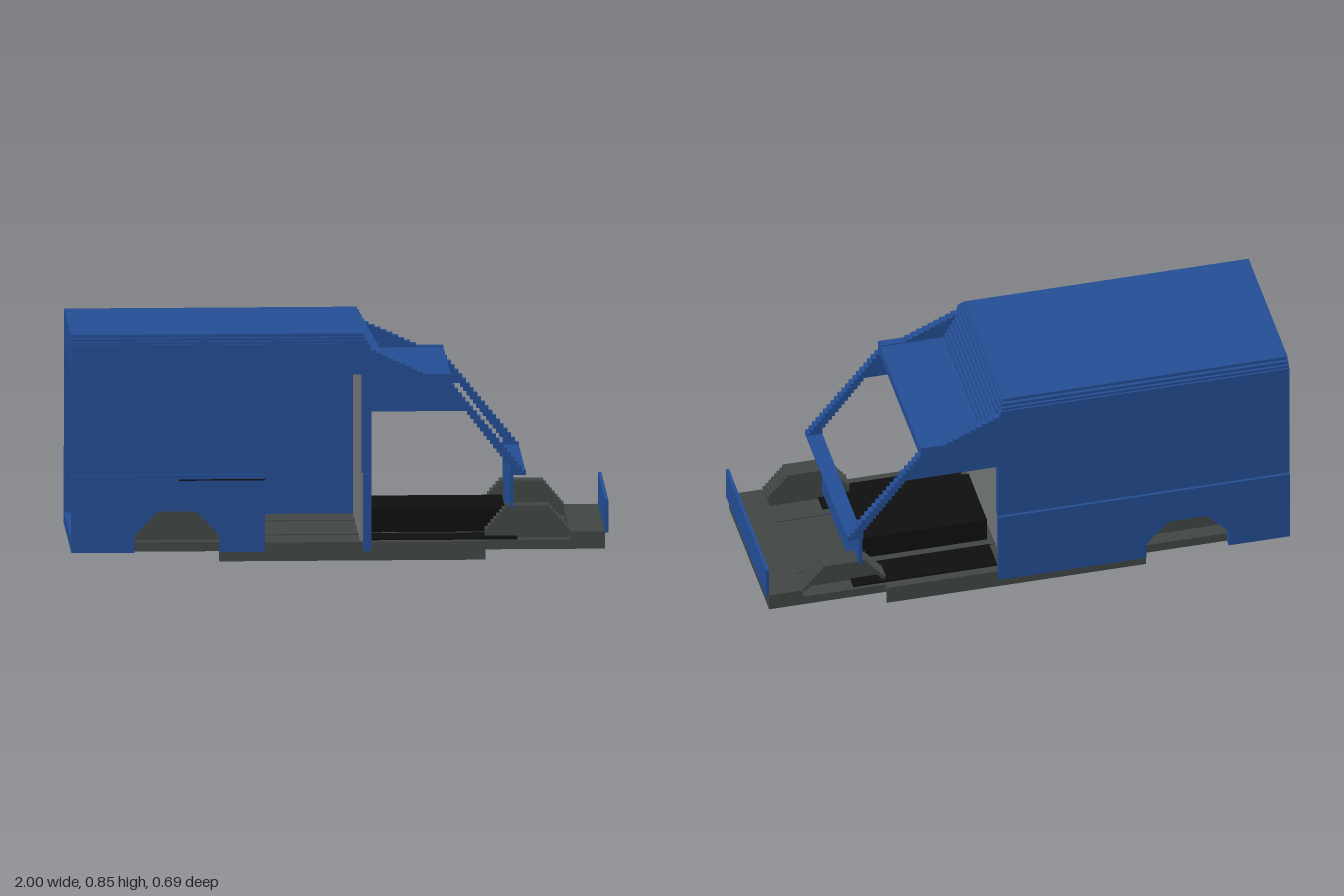
import * as THREE from 'three';

const mat = (name, color, side = THREE.FrontSide) => {
  const m = new THREE.MeshStandardMaterial({ color, side });
  m.name = name;
  return m;
};

export function createModel() {
  const van = new THREE.Group();
  van.name = 'vanShell';
  const blue = mat('bodyBlue', 0x244f96);
  const grey = mat('floorGrey', 0x424745);
  const black = mat('matBlack', 0x0f0f0f);
  const pale = mat('partitionGrey', 0x747779);

  const add = (name, geo, material) => {
    const mesh = new THREE.Mesh(geo, material);
    mesh.name = name;
    van.add(mesh);
    return mesh;
  };
  // Box given by its limits on each axis
  const box = (name, m, x0, x1, y0, y1, z0, z1) => {
    const g = new THREE.BoxGeometry(x1 - x0, y1 - y0, z1 - z0);
    g.translate((x0 + x1) / 2, (y0 + y1) / 2, (z0 + z1) / 2);
    return add(name, g, m);
  };
  // Side profile in x,y extruded between two distances from the centre line
  const panel = (name, m, pts, s, z0, z1) => {
    const shape = new THREE.Shape(pts.map(p => new THREE.Vector2(p[0], p[1])));
    const g = new THREE.ExtrudeGeometry(shape, { depth: z1 - z0, bevelEnabled: false });
    g.translate(0, 0, s > 0 ? z0 : -z1);
    return add(name, g, m);
  };
  // Staircase of n steps between two points
  const stairs = (x0, y0, x1, y1, n, flatFirst = true) => {
    const pts = [[x0, y0]];
    for (let i = 1; i <= n; i++) {
      const x = x0 + (x1 - x0) * i / n, y = y0 + (y1 - y0) * i / n;
      const px = x0 + (x1 - x0) * (i - 1) / n, py = y0 + (y1 - y0) * (i - 1) / n;
      pts.push(flatFirst ? [x, py] : [px, y], [x, y]);
    }
    return pts;
  };

  // Floor, front cross member and underside runners
  box('floor', grey, -0.97, 0.985, 0.035, 0.07, -0.315, 0.315);
  box('frontCrossMember', grey, 0.855, 0.985, 0.035, 0.1, -0.315, 0.315);
  for (const s of [-1, 1]) {
    box('floorRunner', grey, -0.97, 0.965, 0.025, 0.074, s * 0.16 - 0.015, s * 0.16 + 0.015);
    box('sill', grey, -0.45, 0.54, 0, 0.07, s * 0.332 - 0.005, s * 0.332 + 0.005);
    box('sillTop', grey, -0.28, 0.54, 0.04, 0.07, s * 0.32 - 0.008, s * 0.32 + 0.008);
    box('cabMat', black, 0.11, 0.66, 0.069, 0.077, s * 0.24 - 0.063, s * 0.24 + 0.063);
  }
  box('cabPlatform', black, 0.11, 0.62, 0.069, 0.165, -0.144, 0.144);

  // Wheel arches: stepped cover, closed inner wall, open lower ends
  const arch = (x0, x1, top, s) => {
    const w = 0.085, t = 0.012;
    const outer = [
      ...stairs(x0, 0.1, x0 + w, top, 8, false),
      ...stairs(x1 - w, top, x1, 0.1, 8),
    ];
    const inner = [[x1 - t, 0.1], [x1 - w, top - t], [x0 + w, top - t], [x0 + t, 0.1]];
    panel('wheelArchCover', grey, [...outer, ...inner], s, 0.25, 0.318);
    panel('wheelArchInnerWall', grey, [[x0, 0.06], ...outer, [x1, 0.06]], s, 0.248, 0.258);
  };

  // Side walls; the +z side has the sliding door opening
  for (const s of [-1, 1]) {
    arch(-0.765, -0.45, 0.19, s);
    arch(0.54, 0.855, 0.2, s);

    const doorway = s > 0 ? [[-0.28, 0.328], [-0.28, 0.7], [0.08, 0.7], [0.08, 0.328]] : [];
    const upper = [
      [-1, 0.328], ...doorway, [0.115, 0.328], [0.115, 0.56],
      ...stairs(0.46, 0.56, 0.63, 0.34, 14),
      [0.63, 0.318], ...stairs(0.69, 0.318, 0.41, 0.66, 20, false),
      [0.41, 0.7], ...stairs(0.33, 0.7, 0.11, 0.8, 10), [0.1, 0.815], [-1, 0.815],
    ];
    panel('upperSide', blue, upper, s, 0.305, 0.335);

    const end = s > 0 ? -0.28 : 0.115;
    panel('lowerSide', blue, [
      [-1, 0.036], [-0.765, 0.036], [-0.765, 0.1], [-0.68, 0.19], [-0.535, 0.19],
      [-0.45, 0.1], [-0.45, 0.036], [end, 0.036], [end, 0.328], [-1, 0.328],
    ], s, 0.318, 0.346);
  }
  box('doorPillar', blue, 0.085, 0.115, 0.036, 0.328, 0.316, 0.346);
  box('slidingDoorRail', black, -0.6, -0.28, 0.306, 0.311, 0.344, 0.3475);

  // Roof with stepped edges
  const roofSteps = [[0.335, 0.805, 0.816], [0.328, 0.816, 0.826], [0.318, 0.826, 0.838], [0.305, 0.838, 0.85]];
  roofSteps.forEach(([w, y0, y1], i) =>
    box('roofLayer', blue, -1, 0.105 - i * 0.006, y0, y1, -w, w));

  // Cab roof: short stepped drop, then a flat panel with a front lip
  panel('cabRoof', blue, [
    ...stairs(0.085, 0.84, 0.165, 0.696, 8), [0.41, 0.696], [0.41, 0.655],
    [0.395, 0.655], [0.395, 0.68], [0.155, 0.68], [0.085, 0.805],
  ], 1, -0.306, 0.306);

  // Partition behind the cab
  box('partition', pale, 0.074, 0.086, 0.07, 0.806, -0.318, 0.318);

  // Rear door frame
  box('rearLintel', blue, -1, -0.975, 0.71, 0.81, -0.306, 0.306);
  box('rearSill', blue, -1, -0.965, 0.036, 0.085, -0.32, 0.32);
  for (const s of [-1, 1])
    box('rearPost', blue, -1, -0.975, 0.08, 0.72, s * 0.305 - 0.017, s * 0.305 + 0.017);

  // Cowl, firewall and front plate
  box('cowl', blue, 0.63, 0.69, 0.317, 0.327, -0.335, 0.335);
  box('firewall', blue, 0.631, 0.645, 0.1, 0.322, -0.25, 0.25);
  for (const s of [-1, 1])
    box('firewallEnd', blue, 0.631, 0.645, 0.19, 0.322, s * 0.285 - 0.04, s * 0.285 + 0.04);
  box('frontPlate', blue, 0.985, 0.997, 0.095, 0.22, -0.315, 0.315);

  return van;
}
